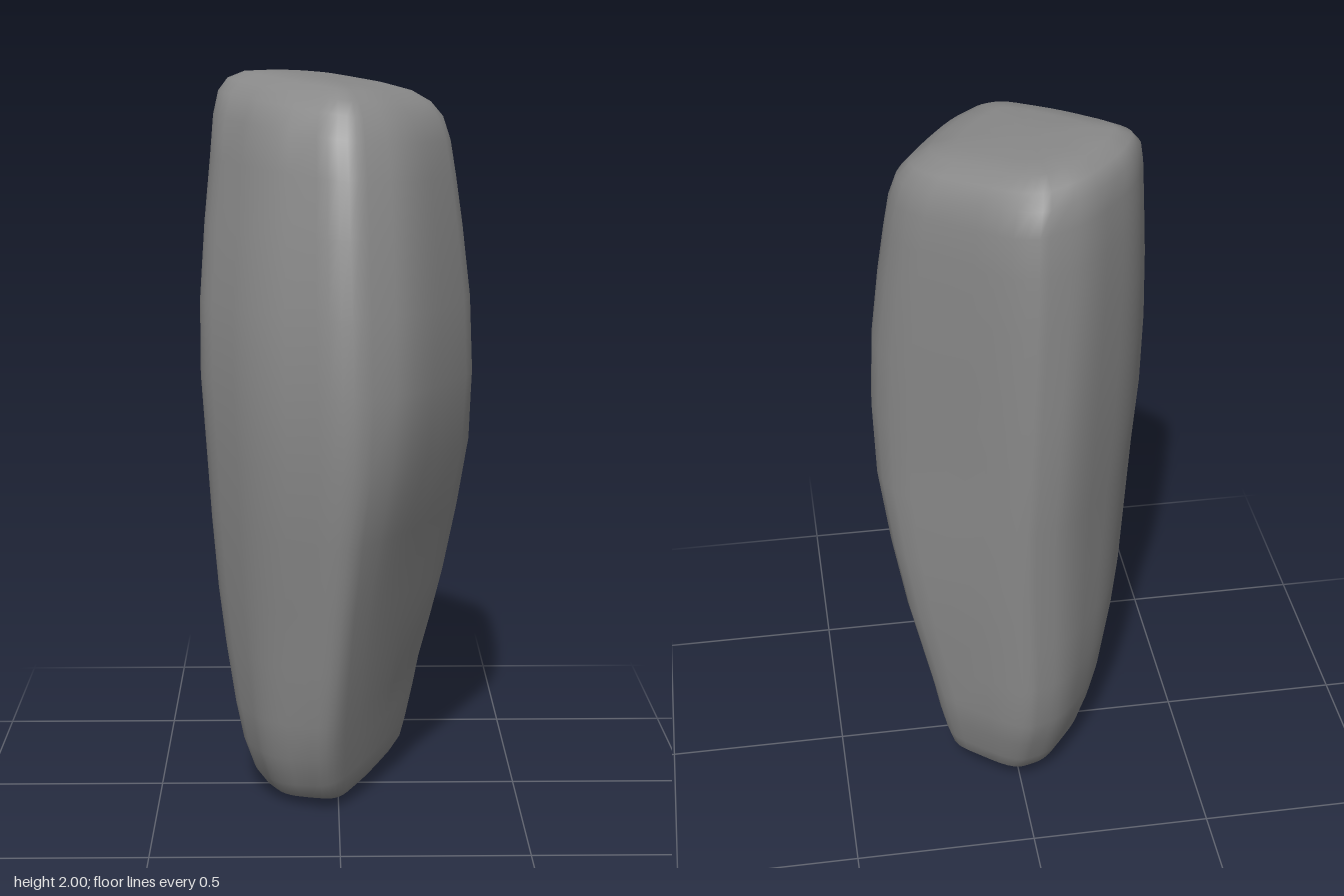
import * as THREE from 'three';

// Corners of the outline (x, z) at key heights, in order:
// front, front-left, left, back, back-right (two), right, front-right
const SHAPES = [
  [0.1, [[-0.03, 0.28], [0.1, 0.08], [0.26, -0.24], [0.02, -0.42], [-0.11, -0.36], [-0.23, -0.18], [-0.3, 0.03], [-0.21, 0.2]]],
  [0.6, [[0, 0.4], [0.12, 0.24], [0.36, -0.17], [0.02, -0.44], [-0.13, -0.38], [-0.28, -0.19], [-0.37, 0.06], [-0.23, 0.27]]],
  [1.25, [[0.02, 0.44], [0.2, 0.34], [0.41, -0.06], [0.02, -0.45], [-0.13, -0.41], [-0.31, -0.2], [-0.4, 0.07], [-0.23, 0.31]]],
  [1.85, [[0.02, 0.3], [0.2, 0.2], [0.37, -0.09], [0.02, -0.43], [-0.15, -0.37], [-0.3, -0.22], [-0.36, -0.05], [-0.2, 0.16]]],
  [1.97, [[0.03, 0.28], [0.17, 0.18], [0.36, -0.08], [0, -0.42], [-0.16, -0.36], [-0.3, -0.22], [-0.36, -0.1], [-0.18, 0.1]]],
];

// Height, then the extents: x min, x max, z min, z max
const RINGS = [
  [0.017, -0.11, 0.11, -0.21, 0.1], [0.03, -0.16, 0.16, -0.255, 0.15],
  [0.06, -0.205, 0.185, -0.295, 0.2], [0.11, -0.235, 0.2, -0.32, 0.23],
  [0.2, -0.265, 0.22, -0.355, 0.27], [0.3, -0.287, 0.237, -0.385, 0.3],
  [0.45, -0.312, 0.268, -0.392, 0.33], [0.6, -0.33, 0.3, -0.396, 0.355],
  [0.8, -0.345, 0.336, -0.4, 0.388], [1, -0.357, 0.363, -0.405, 0.412],
  [1.2, -0.37, 0.368, -0.412, 0.414], [1.4, -0.37, 0.36, -0.412, 0.395],
  [1.6, -0.357, 0.337, -0.407, 0.363], [1.75, -0.342, 0.318, -0.4, 0.325],
  [1.85, -0.333, 0.303, -0.385, 0.292], [1.91, -0.32, 0.283, -0.367, 0.255],
  [1.945, -0.295, 0.25, -0.335, 0.215], [1.968, -0.25, 0.2, -0.285, 0.165],
  [1.979, -0.18, 0.13, -0.22, 0.1],
];

const ROUND = 0.33, STEPS = 5;

// Outline corners at a given height
function cornersAt(y) {
  let k = 0;
  while (k < SHAPES.length - 2 && y > SHAPES[k + 1][0]) k++;
  const [y0, a] = SHAPES[k], [y1, b] = SHAPES[k + 1];
  const t = THREE.MathUtils.smoothstep(y, y0, y1);
  return a.map((p, i) => new THREE.Vector2(...p).lerp(new THREE.Vector2(...b[i]), t));
}

// Rounded outline fitted to the extents of one ring, tilted near both ends
function ring([y, x0, x1, z0, z1]) {
  const c = cornersAt(y), n = c.length, pts = [];
  c.forEach((p, i) => {
    const start = p.clone().lerp(c[(i + n - 1) % n], ROUND);
    const end = p.clone().lerp(c[(i + 1) % n], ROUND);
    pts.push(...new THREE.QuadraticBezierCurve(start, p, end).getPoints(STEPS));
  });
  const box = new THREE.Box2().setFromPoints(pts);
  const low = 1 - THREE.MathUtils.smoothstep(y, 0.1, 0.6);
  const high = THREE.MathUtils.smoothstep(y, 1.5, 1.9);
  return pts.map((p) => {
    const x = THREE.MathUtils.mapLinear(p.x, box.min.x, box.max.x, x0, x1);
    const z = THREE.MathUtils.mapLinear(p.y, box.min.y, box.max.y, z0, z1);
    const tilt = low * (0.14 * x - 0.08 * z) - high * (0.11 * x + 0.03 * z);
    return new THREE.Vector3(x, y + tilt, z);
  });
}

// Smooth closed skin through the rings
function loft(rings) {
  const n = rings[0].length, last = (rings.length - 1) * n, index = [];
  const centre = (r) => r.reduce((s, p) => s.add(p), new THREE.Vector3()).divideScalar(n);
  const points = [...rings.flat(), centre(rings[0]), centre(rings[rings.length - 1])];
  for (let j = 0; j < n; j++) {
    const k = (j + 1) % n;
    for (let o = 0; o < last; o += n) {
      index.push(o + j, o + k, o + n + k, o + j, o + n + k, o + n + j);
    }
    index.push(k, j, last + n, last + j, last + k, last + n + 1);
  }
  const geometry = new THREE.BufferGeometry().setFromPoints(points);
  geometry.setIndex(index);
  geometry.computeVertexNormals();
  return geometry;
}

export function createModel() {
  const group = new THREE.Group();
  group.name = 'standingStone';

  const material = new THREE.MeshStandardMaterial({ color: 0x888888 });
  const stone = new THREE.Mesh(loft(RINGS.map(ring)), material);
  stone.name = 'stone';
  group.add(stone);
  return group;
}
